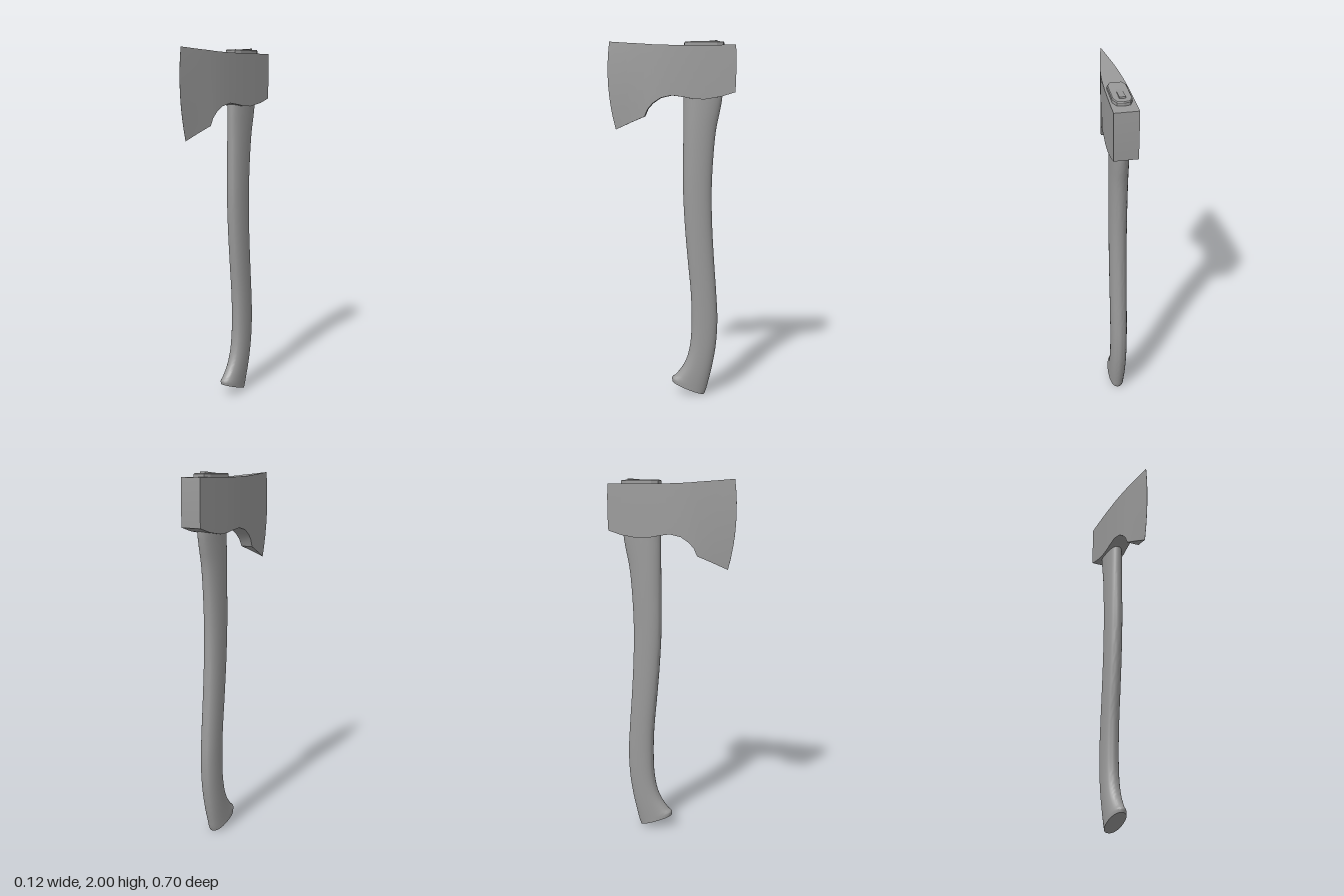
import * as THREE from 'three';
import { toCreasedNormals } from 'three/addons/utils/BufferGeometryUtils.js';

const material = new THREE.MeshStandardMaterial({ color: 0x9a9a9a });

// Head stations from poll to cutting edge: [z bottom, y bottom, z top, y top, half width]
const HEAD = [
  [-0.343, 1.725, -0.343, 1.972, 0.06],
  [-0.268, 1.702, -0.268, 1.972, 0.06],
  [-0.177, 1.687, -0.177, 1.972, 0.059],
  [-0.115, 1.69, -0.115, 1.972, 0.058],
  [-0.065, 1.7, -0.065, 1.972, 0.056],
  [0, 1.709, 0, 1.973, 0.053],
  [0.06, 1.695, 0.06, 1.975, 0.048],
  [0.103, 1.666, 0.103, 1.977, 0.043],
  [0.13, 1.635, 0.13, 1.979, 0.039],
  [0.147, 1.595, 0.15, 1.981, 0.036],
  [0.22, 1.564, 0.24, 1.987, 0.02],
  [0.308, 1.524, 0.338, 1.995, 0.0005],
];

// Handle stations from knob to eye: [z front, y front, z back, y back]
const HANDLE = [
  [-0.005, 0.074, -0.189, 0.001],
  [-0.003, 0.096, -0.198, 0.022],
  [-0.025, 0.115, -0.208, 0.06],
  [-0.066, 0.17, -0.225, 0.13],
  [-0.092, 0.23, -0.241, 0.21],
  [-0.109, 0.32, -0.255, 0.31],
  [-0.114, 0.45, -0.261, 0.45],
  [-0.109, 0.6, -0.253, 0.6],
  [-0.09, 0.8, -0.238, 0.8],
  [-0.073, 1.0, -0.226, 1.0],
  [-0.063, 1.2, -0.222, 1.2],
  [-0.063, 1.4, -0.231, 1.4],
  [-0.064, 1.53, -0.244, 1.53],
  [-0.064, 1.63, -0.264, 1.63],
  [-0.065, 1.7, -0.275, 1.7],
  [-0.067, 1.9, -0.278, 1.9],
];

function addMesh(group, name, geometry) {
  const mesh = new THREE.Mesh(geometry, material);
  mesh.name = name;
  group.add(mesh);
}

// A subdivided box bent onto the head stations, with a bowed cutting edge
function headGeometry() {
  const n = HEAD.length - 1;
  const geo = new THREE.BoxGeometry(2, 1, 1, 1, 8, n);
  const p = geo.attributes.position;
  for (let i = 0; i < p.count; i++) {
    const k = Math.round((p.getZ(i) + 0.5) * n);
    const v = p.getY(i) + 0.5;
    const [zb, yb, zt, yt, w] = HEAD[k];
    const bow = 4 * v * (1 - v) * (k === n ? 0.024 : k === n - 1 ? 0.01 : k === 0 ? -0.003 : 0);
    p.setXYZ(i, p.getX(i) * w, THREE.MathUtils.lerp(yb, yt, v), THREE.MathUtils.lerp(zb, zt, v) + bow);
  }
  return toCreasedNormals(geo, 0.5);
}

// Rounded oval sections swept between the front and back curves, with closed ends
function handleGeometry() {
  const sides = 32, steps = 75;
  const front = new THREE.CatmullRomCurve3(HANDLE.map(s => new THREE.Vector3(0, s[1], s[0])));
  const back = new THREE.CatmullRomCurve3(HANDLE.map(s => new THREE.Vector3(0, s[3], s[2])));
  const rings = [[0, 0]];
  for (let i = 0; i <= steps; i++) rings.push([i / steps, 1]);
  rings.push([1, 0]);

  const positions = [], index = [];
  const round = c => Math.sign(c) * Math.pow(Math.abs(c), 0.88);
  rings.forEach(([t, size], r) => {
    const f = front.getPoint(t), b = back.getPoint(t);
    const mid = f.clone().add(b).multiplyScalar(0.5);
    const half = f.clone().sub(b).multiplyScalar(0.5 * size);
    for (let j = 0; j < sides; j++) {
      const a = (j / sides) * Math.PI * 2;
      const s = round(Math.sin(a));
      positions.push(0.046 * size * round(Math.cos(a)), mid.y + half.y * s, mid.z + half.z * s);
      if (r === rings.length - 1) continue;
      const c = r * sides + j, d = r * sides + (j + 1) % sides;
      index.push(c, c + sides, d, d, c + sides, d + sides);
    }
  });
  const geo = new THREE.BufferGeometry();
  geo.setAttribute('position', new THREE.Float32BufferAttribute(positions, 3));
  geo.setIndex(index);
  return toCreasedNormals(geo, 0.6);
}

// Faceted end of the handle, showing above the eye
function tenonGeometry() {
  const side = [[0.029, 0.073], [0.043, 0.103], [0.043, 0.242], [0.029, 0.273]];
  const outline = [[0, 0.071], ...side, [0, 0.28], ...side.map(([x, y]) => [-x, y]).reverse()];
  const geo = new THREE.ExtrudeGeometry(new THREE.Shape(outline.map(q => new THREE.Vector2(...q))), {
    depth: 0.085, bevelEnabled: true, bevelSegments: 1, bevelThickness: 0.005, bevelSize: 0.004,
  });
  return geo.rotateX(-Math.PI / 2).translate(0, 1.902, 0);
}

export function createModel() {
  const axe = new THREE.Group();
  axe.name = 'axe';
  addMesh(axe, 'head', headGeometry());
  addMesh(axe, 'handle', handleGeometry());
  addMesh(axe, 'tenon', tenonGeometry());

  // Wedge driven into the tenon, sinking towards the front
  const wedge = new THREE.BoxGeometry(0.031, 0.04, 0.1);
  wedge.rotateX(0.08).translate(0, 1.976, -0.197);
  addMesh(axe, 'wedge', wedge);
  return axe;
}
